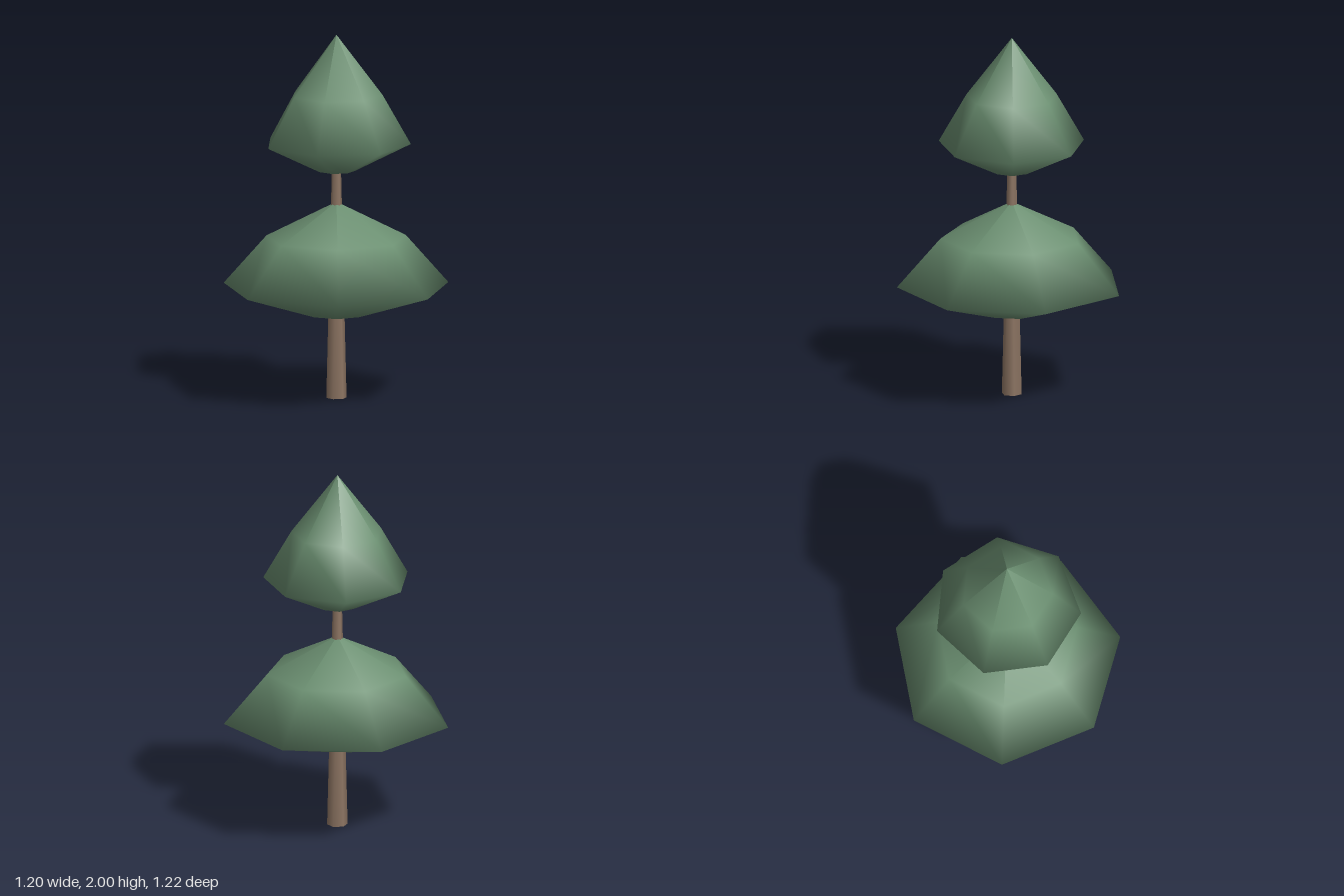
import * as THREE from 'three';

export function createModel() {
  const leaf = new THREE.MeshStandardMaterial({ color: 0x6b8f71, side: THREE.DoubleSide });
  leaf.name = 'leaf green';
  const bark = new THREE.MeshStandardMaterial({ color: 0x8c7462, side: THREE.DoubleSide });
  bark.name = 'bark brown';

  const tree = new THREE.Group();
  tree.name = 'tree';
  const axis = { x: -0.025, z: -0.008 };

  // Tapered six-sided trunk, open at both ends
  const height = 1.4;
  const trunk = new THREE.Mesh(
    new THREE.CylinderGeometry(0.022, 0.056, height, 6, 1, true, Math.PI / 2), bark);
  trunk.name = 'trunk';
  trunk.position.set(axis.x, height / 2, axis.z);
  tree.add(trunk);

  // Seven-sided foliage tier: open base, wide rim, shoulder, pointed tip
  function addTier(name, radius, [base, rim, shoulder, tip], turn) {
    const profile = [
      [radius * 0.25, base], [radius, rim], [radius * 0.62, shoulder], [0, tip],
    ].map(([r, y]) => new THREE.Vector2(r, y));
    const tier = new THREE.Mesh(
      new THREE.LatheGeometry(profile, 7, THREE.MathUtils.degToRad(turn)), leaf);
    tier.name = name;
    tier.position.set(axis.x, 0, axis.z);
    tree.add(tier);
  }
  addTier('lowerFoliage', 0.625, [0.46, 0.61, 0.88, 1.08], 93.6);
  addTier('upperFoliage', 0.404, [1.25, 1.4, 1.67, 2.0], 77.8);

  return tree;
}
